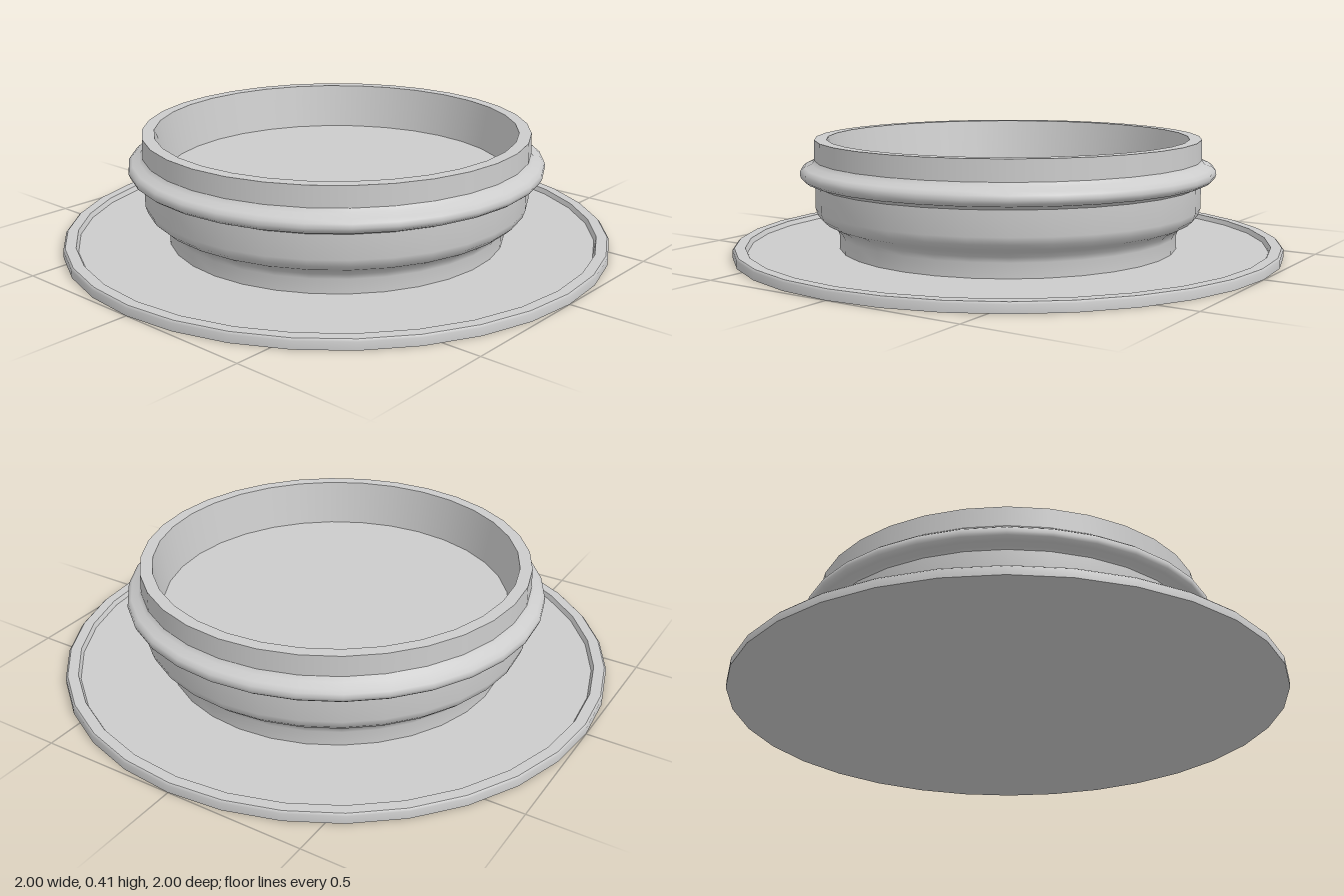
import * as THREE from 'three';
import { mergeGeometries } from 'three/addons/utils/BufferGeometryUtils.js';

const SIDES = 32;
const material = new THREE.MeshStandardMaterial({ color: 0xcccccc });

// Each run is a smooth stretch of profile [radius, height]; edges between runs stay sharp.
function turned(name, runs) {
  const parts = runs.map((run) =>
    new THREE.LatheGeometry(run.map(([r, y]) => new THREE.Vector2(r, y)), SIDES));
  const mesh = new THREE.Mesh(mergeGeometries(parts), material);
  mesh.name = name;
  return mesh;
}

export function createModel() {
  const model = new THREE.Group();
  model.name = 'flangedCup';

  // Flat round plate with a thin raised rim
  model.add(turned('basePlate', [
    [[0, 0], [1, 0]],
    [[1, 0], [1, 0.028], [0.993, 0.035]],
    [[0.993, 0.035], [0.955, 0.035]],
    [[0.955, 0.035], [0.947, 0.018]],
    [[0.947, 0.018], [0, 0.018]],
  ]));

  // Outer wall: narrow neck, flared shoulder, rounded collar, straight lip
  model.add(turned('cupWall', [
    [[0.62, 0.018], [0.62, 0.07], [0.628, 0.09], [0.645, 0.107], [0.675, 0.123],
      [0.695, 0.142], [0.704, 0.168], [0.704, 0.255]],
    [[0.704, 0.255], [0.712, 0.264], [0.74, 0.27], [0.753, 0.28], [0.757, 0.292],
      [0.755, 0.307], [0.742, 0.318], [0.716, 0.328], [0.706, 0.342]],
    [[0.706, 0.342], [0.704, 0.415]],
    [[0.704, 0.415], [0.66, 0.415]],
  ]));

  // Tapered recess and its floor
  model.add(turned('cupRecess', [
    [[0.66, 0.415], [0.632, 0.25]],
    [[0.632, 0.25], [0, 0.25]],
  ]));

  return model;
}
